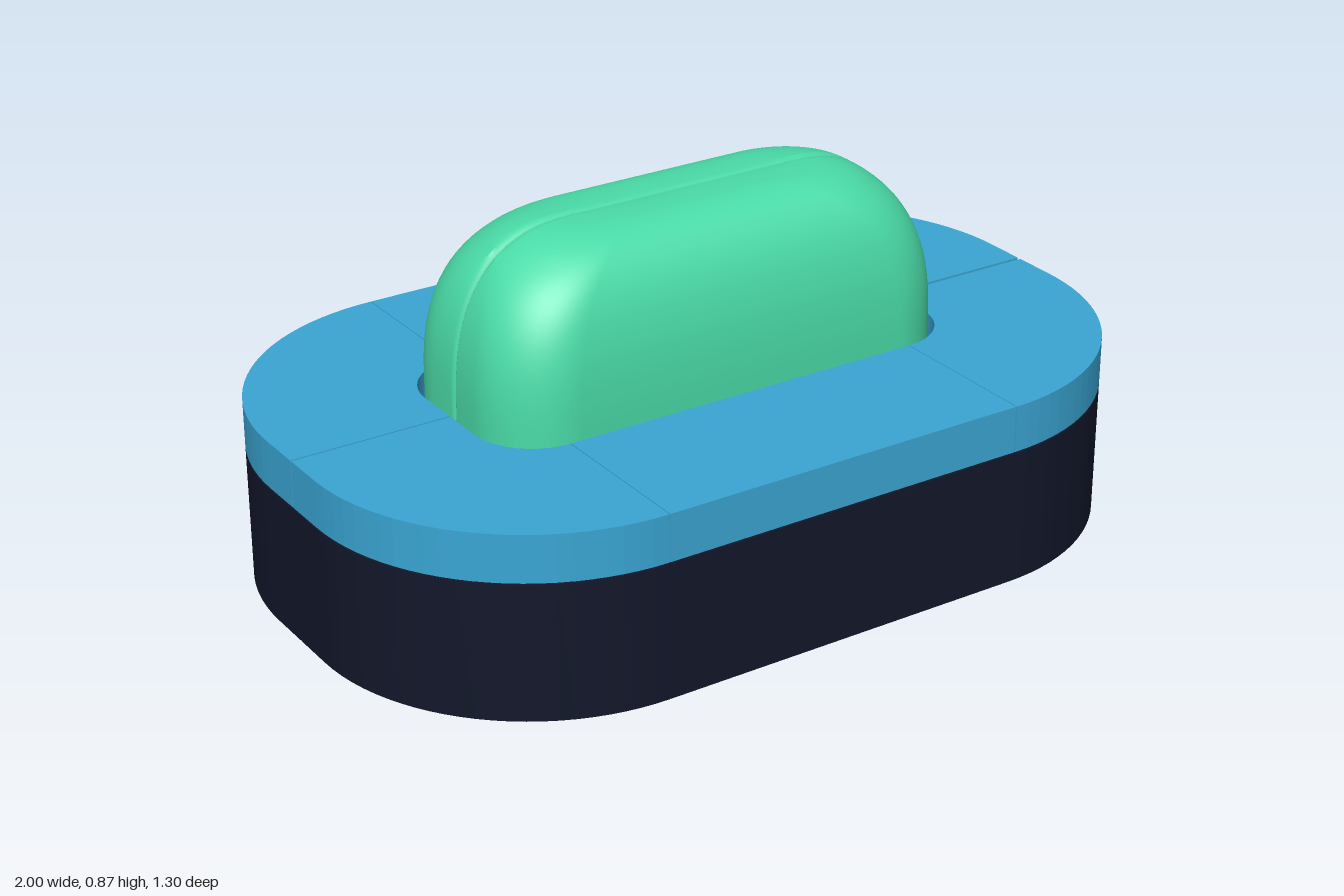
import * as THREE from 'three';
import { mergeVertices } from 'three/addons/utils/BufferGeometryUtils.js';

const blue = new THREE.MeshStandardMaterial({ color: 0x3aa6d4 });
const navy = new THREE.MeshStandardMaterial({ color: 0x12172a });
const green = new THREE.MeshStandardMaterial({ color: 0x4adba8, side: THREE.DoubleSide });

// Shared centre of the inner and outer corner arcs, and their radii
const CX = 0.46, CZ = 0.11, OUTER = 0.54, INNER = 0.15;

// Extrude a plan outline (x, z) downwards from top to bottom
function slab(points, bottom, top) {
  const geo = new THREE.ExtrudeGeometry(new THREE.Shape(points), { depth: top - bottom, bevelEnabled: false });
  return geo.rotateX(Math.PI / 2).translate(0, top, 0);
}

function arc(radius, from, to, steps) {
  return Array.from({ length: steps + 1 }, (_, i) => {
    const t = from + (to - from) * i / steps;
    return new THREE.Vector2(CX + radius * Math.cos(t), CZ + radius * Math.sin(t));
  });
}

// One quarter of the rounded ring, mirrored by the signs
function cornerPoints(sx, sz, gap) {
  const q = Math.PI / 2;
  const pts = [
    new THREE.Vector2(CX + OUTER, gap),
    ...arc(OUTER, 0, q, 24),
    ...arc(INNER, q, 0, 16),
    new THREE.Vector2(CX + INNER, gap),
  ];
  return pts.map(p => new THREE.Vector2(p.x * sx, p.y * sz));
}

function sidePoints(sz) {
  const x = CX - 0.002, z0 = CZ + INNER, z1 = CZ + OUTER;
  return [[-x, z0], [x, z0], [x, z1], [-x, z1]].map(([a, b]) => new THREE.Vector2(a, b * sz));
}

// Plan outline of half the body, with a softened edge along the seam
function halfOutline(a, b, y) {
  const groove = [[0, 0.012], [0.004, 0.004], [0.012, 0]];
  const half = groove.map(([z, d]) => [a - d, y - d, Math.min(z, b)]);
  const rx = 0.17, rz = Math.max(0, Math.min(0.17, b - 0.012));
  for (let i = 0; i <= 14; i++) {
    const t = i / 14 * Math.PI / 2;
    half.push([a - rx + rx * Math.cos(t), y, Math.min(b, b - rz + rz * Math.sin(t))]);
  }
  const mirror = half.map(([x, h, z]) => [-x, h, z]).reverse();
  return [...half, ...mirror];
}

// Half of the central body, lofted upwards from its underside
function bodyHalf(sz) {
  const A = 0.6, B = 0.26, n = 2.6;
  const levels = [[0.56, 0, 0], [0.565, 0.225, 0], [0.585, 0.245, 0.012], [A - 0.003, B - 0.003, 0.03], [A, B, 0.06]];
  // Squared-off shoulder curve
  for (let i = 0; i <= 24; i++) {
    const t = i / 24 * Math.PI / 2;
    const c = Math.max(0, Math.cos(t)) ** (2 / n), s = Math.sin(t) ** (2 / n);
    levels.push([0.29 + 0.31 * c, 0.05 + 0.21 * c, 0.465 + 0.4 * s]);
  }
  levels.push([0.288, 0.012, 0.865], [0.286, 0.004, 0.861], [0.284, 0, 0.853]);

  const rings = levels.map(([a, b, y]) => halfOutline(a, b, y));
  const count = rings[0].length, pos = [], idx = [];
  rings.forEach(r => r.forEach(([x, y, z]) => pos.push(x, Math.max(0, y), z * sz)));
  for (let k = 0; k < rings.length - 1; k++) {
    for (let i = 0; i < count - 1; i++) {
      const p = k * count + i, q = p + count;
      if (sz > 0) idx.push(p, q, p + 1, p + 1, q, q + 1);
      else idx.push(p, p + 1, q, p + 1, q + 1, q);
    }
  }
  let geo = new THREE.BufferGeometry();
  geo.setAttribute('position', new THREE.Float32BufferAttribute(pos, 3));
  geo.setIndex(idx);
  geo = mergeVertices(geo, 1e-5);
  geo.computeVertexNormals();
  return geo;
}

export function createModel() {
  const group = new THREE.Group();
  const add = (name, geo, mat) => {
    const mesh = new THREE.Mesh(geo, mat);
    mesh.name = name;
    group.add(mesh);
  };

  // Dark base ring and coloured top ring, each in six segments
  const layers = [['base', 0.01, 0.336, navy], ['top', 0.34, 0.453, blue]];
  for (const [label, bottom, top, mat] of layers) {
    for (const sz of [1, -1]) {
      const end = sz > 0 ? 'Front' : 'Back';
      add(`${label}${end}Side`, slab(sidePoints(sz), bottom, top), mat);
      for (const sx of [1, -1]) {
        const gap = sx > 0 ? 0.005 : 0.002;
        add(`${label}${end}${sx > 0 ? 'Left' : 'Right'}Corner`, slab(cornerPoints(sx, sz, gap), bottom, top), mat);
      }
    }
  }

  // Central body in two halves
  add('bodyFrontHalf', bodyHalf(1), green);
  add('bodyBackHalf', bodyHalf(-1), green);
  return group;
}
